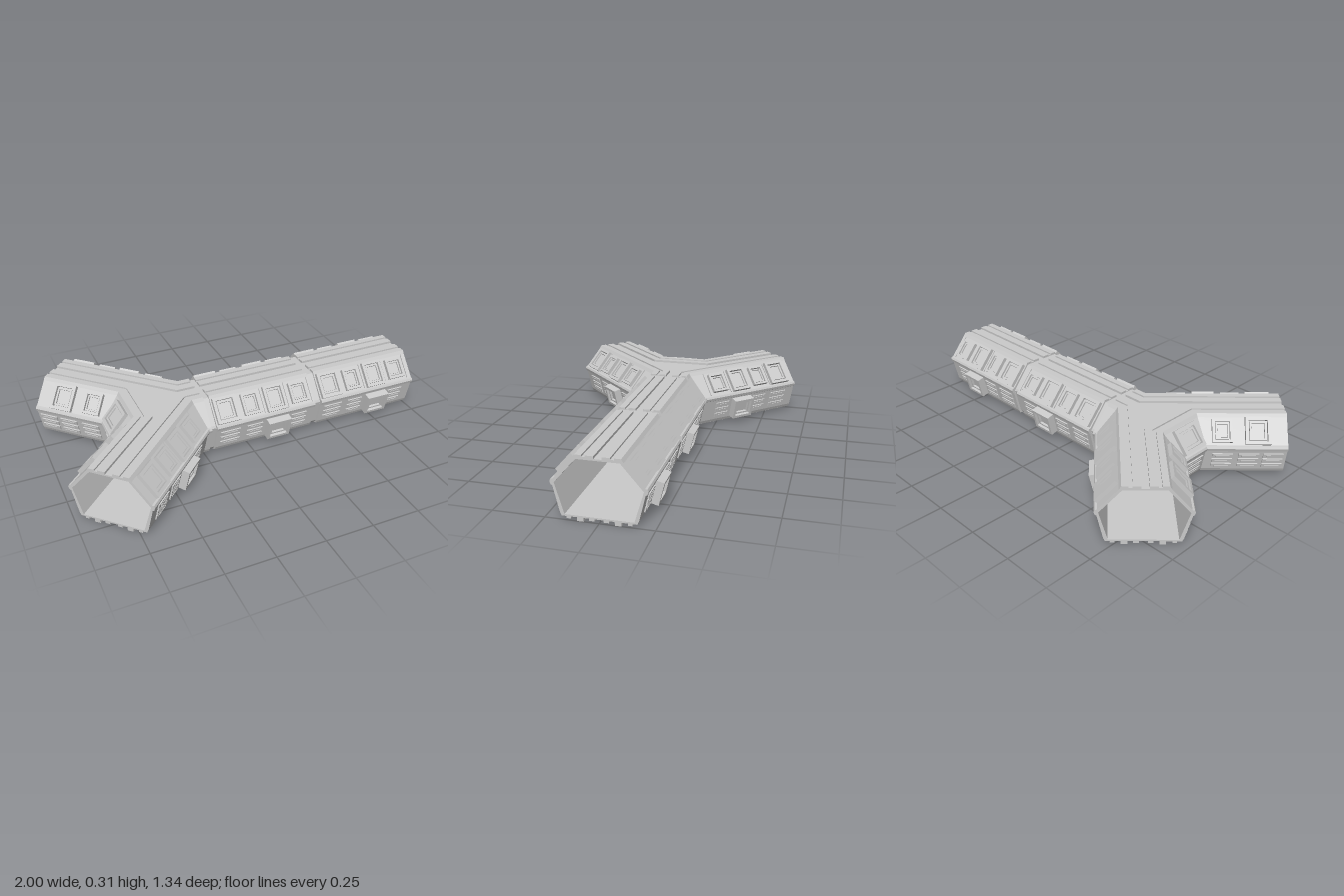
import * as THREE from 'three';

const grey = new THREE.MeshStandardMaterial({ color: 0xcccccc, flatShading: true });

// Half cross-sections as [distance from axis, height]: outside from roof to floor, then back inside.
const HULL = [
  [0, .298], [.018, .298], [.018, .31], [.055, .31], [.055, .302], [.072, .302], [.072, .31], [.103, .31],
  [.114, .293], [.205, .188], [.215, .186], [.22, .175], [.215, .16], [.207, .156], [.178, .035], [.17, .018],
  [.148, .018], [.148, .008], [.128, .008], [.128, .018], [.1, .018], [.1, 0], [.07, 0], [.07, .018],
  [.045, .018], [.045, .008], [.02, .008], [.02, .018], [0, .018],
  [0, .026], [.157, .026], [.2, .172], [.098, .29], [0, .29],
];
const COLLAR = [
  [0, .298], [.1, .298], [.192, .182], [.198, .17], [.165, .032], [.155, .018], [0, .018],
  [0, .03], [.145, .03], [.184, .172], [.09, .284], [0, .284],
];
const SLOPE = { at: [.159, .241], n: [.756, .655] };
const LOWER = { at: [.1925, .0955], n: [.972, -.235] };
const INSIDE = { at: [.178, .097], n: [-.956, .292] };

const HUB = [-.33, 0], ARM = .514, S = Math.SQRT1_2;

// Sweeps a section along a plan path [x, z] with mitred bends; the section lies to the right of travel.
function sweep(name, profile, path) {
  const dirs = path.slice(1).map((p, i) =>
    new THREE.Vector2(p[0] - path[i][0], p[1] - path[i][1]).normalize());
  const normals = dirs.map(d => new THREE.Vector2(-d.y, d.x));
  const pos = [], idx = [], n = profile.length;
  path.forEach((p, k) => {
    const a = normals[Math.max(k - 1, 0)], b = normals[Math.min(k, normals.length - 1)];
    const m = a.clone().add(b).divideScalar(1 + a.dot(b));
    for (const [d, y] of profile) pos.push(p[0] + m.x * d, y, p[1] + m.y * d);
  });
  for (let k = 0; k < path.length - 1; k++) {
    for (let i = 0; i < n; i++) {
      const j = (i + 1) % n;
      if (profile[i][0] === 0 && profile[j][0] === 0) continue; // open along the axis
      const a = k * n + i, b = k * n + j;
      idx.push(a, b, b + n, a, b + n, a + n);
    }
  }
  // End rims
  const outline = profile.map(q => new THREE.Vector2(...q)).reverse();
  const last = (path.length - 1) * n;
  for (const t of THREE.ShapeUtils.triangulateShape(outline, [])) {
    const [a, b, c] = t.map(v => n - 1 - v);
    idx.push(a, b, c, last + a, last + c, last + b);
  }
  const g = new THREE.BufferGeometry();
  g.setAttribute('position', new THREE.Float32BufferAttribute(pos, 3));
  g.setIndex(idx);
  g.computeVertexNormals();
  const mesh = new THREE.Mesh(g, grey);
  mesh.name = name;
  return mesh;
}

function box(w, h, d, x = 0, y = 0, z = 0) {
  const m = new THREE.Mesh(new THREE.BoxGeometry(w, h, d), grey);
  m.position.set(x, y, z);
  return m;
}

// Rectangular ring of width b and depth d
function ring(w, h, b, d) {
  const rect = (C, x, y) => new C([[-x, -y], [x, -y], [x, y], [-x, y]].map(q => new THREE.Vector2(...q)));
  const s = rect(THREE.Shape, w / 2, h / 2);
  s.holes.push(rect(THREE.Path, w / 2 - b, h / 2 - b));
  return new THREE.Mesh(new THREE.ExtrudeGeometry(s, { depth: d, bevelEnabled: false }), grey);
}

// Raised frame with a sunken pane and a raised centre
function framed(name, w, h, d) {
  const g = new THREE.Group();
  g.name = name;
  const b = Math.min(w, h) * .13;
  const inner = ring(w - 2.6 * b, h - 2.6 * b, b * .6, d * .7);
  g.add(ring(w, h, b, d), inner, box(w - 4 * b, h - 4 * b, d * .4, 0, 0, d * .2));
  return g;
}

// Stack of thin raised plates
function plates(w, rows = 3) {
  const g = new THREE.Group();
  g.name = 'wallPlates';
  for (let i = 0; i < rows; i++) {
    const y = (i - (rows - 1) / 2) * .034;
    g.add(box(w, .025, .008, 0, y, .003), box(w * .7, .008, .012, 0, y, .004));
  }
  return g;
}

// Places a part on a wall face at a distance along a travel direction
function mount(part, origin, dir, along, face) {
  const [dx, dz] = dir, [d, y] = face.at;
  const N = new THREE.Vector3(-dz * face.n[0], face.n[1], dx * face.n[0]).normalize();
  const T = new THREE.Vector3(dx, 0, dz);
  const U = N.clone().cross(T);
  part.quaternion.setFromRotationMatrix(new THREE.Matrix4().makeBasis(T, U, N));
  part.position.set(origin[0] + dx * along - dz * d, y, origin[1] + dz * along + dx * d);
  return part;
}

// Four roof windows, a projecting hatch and wall plates for one bay; f flips the order
function bay(origin, dir, f) {
  const g = new THREE.Group();
  g.name = 'windowBay';
  [[-.21, .125, .138], [-.07, .095, .115], [.07, .115, .138], [.21, .1, .11]].forEach(([x, w, h]) => {
    g.add(mount(framed('roofWindow', w, h, .02), origin, dir, x * f, SLOPE));
    g.add(mount(box(.006, .135, .012), origin, dir, (x + .07) * f, SLOPE));
  });
  g.add(mount(framed('sideHatch', .13, .115, .04), origin, dir, .07 * f, LOWER));
  [[-.2, .11], [-.06, .09], [.2, .09]].forEach(([x, w]) =>
    g.add(mount(plates(w), origin, dir, x * f, LOWER)));
  return g;
}

export function createModel() {
  const model = new THREE.Group();
  model.name = 'corridorJunction';
  const armEnd = [HUB[0] - ARM, ARM];

  for (const s of [1, -1]) {
    const side = new THREE.Group();
    side.name = s > 0 ? 'frontHalf' : 'backHalf';
    // Mirrored halves reverse the path so the wall stays on the right of travel
    const run = (name, profile, pts) => {
      const p = pts.map(([x, z]) => [x, z * s]);
      side.add(sweep(name, profile, s > 0 ? p : p.reverse()));
    };
    run('armOuterWall', HULL, [armEnd, HUB, [-.225, 0]]);
    run('hubCollar', COLLAR, [[-.225, 0], [-.195, 0]]);
    run('innerStemWall', HULL, [[-.195, 0], [.375, 0]]);
    run('stemCollar', COLLAR, [[.375, 0], [.415, 0]]);
    run('outerStemWall', HULL, [[.415, 0], [1, 0]]);

    side.add(bay([.085, 0], [s, 0], s), bay([.695, 0], [s, 0], s));
    const t = .41 * S;
    side.add(bay([HUB[0] - t, t * s], [S * s, -S], s));

    // Inner face of the arm, beside the crotch
    const root = [-.5, .17 * s], dir = [-S * s, S];
    [[.165, .1, .115], [.34, .125, .138]].forEach(([a, w, h]) =>
      side.add(mount(framed('innerRoofWindow', w, h, .02), root, dir, a * s, SLOPE)));
    [.17, .3, .42].forEach(a => side.add(mount(plates(.1), root, dir, a * s, LOWER)));
    model.add(side);
  }

  // Crotch wall joining the two arms
  model.add(sweep('crotchWall', HULL, [[armEnd[0], -ARM], [-.5, -.17], [-.5, .17], armEnd]));
  const c = [-.5, 0], along = [0, 1];
  model.add(mount(framed('crotchWindow', .15, .13, .02), c, along, 0, SLOPE));
  model.add(mount(plates(.13), c, along, 0, LOWER));
  for (const z of [-.045, .045])
    model.add(mount(framed('innerDoorPanel', .085, .135, .012), c, along, z, INSIDE));

  // Roof and floor plates in the middle of the hub
  for (const [name, top] of [['hubRoof', .298], ['hubFloor', .026]]) {
    const tri = new THREE.Shape([[-.33, 0], [-.5, .17], [-.5, -.17]].map(q => new THREE.Vector2(...q)));
    const g = new THREE.ExtrudeGeometry(tri, { depth: .008, bevelEnabled: false });
    const m = new THREE.Mesh(g.rotateX(Math.PI / 2), grey);
    m.position.y = top;
    m.name = name;
    model.add(m);
  }
  return model;
}
